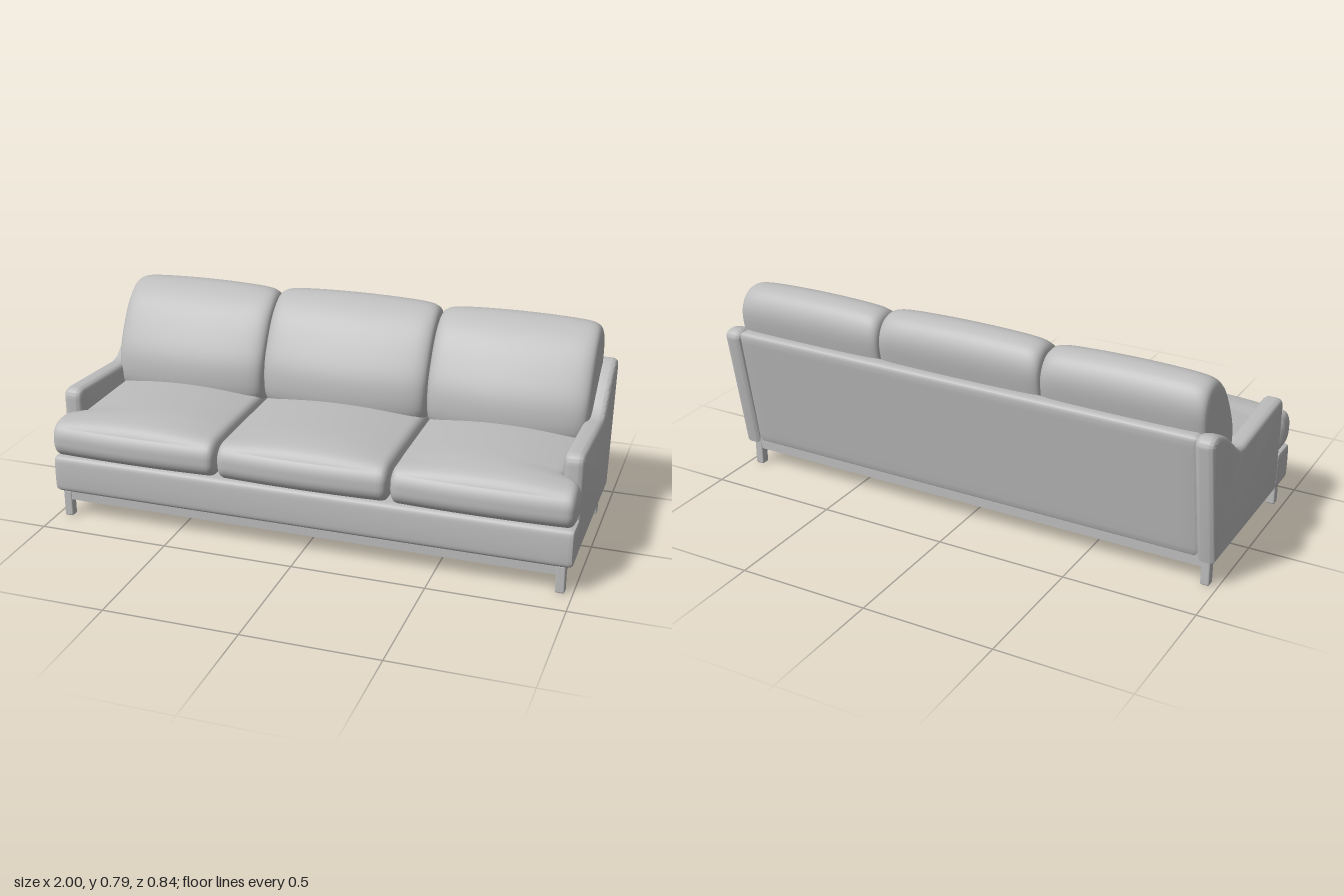
import * as THREE from 'three';
import { mergeVertices, toCreasedNormals } from 'three/addons/utils/BufferGeometryUtils.js';
import { RoundedBoxGeometry } from 'three/addons/geometries/RoundedBoxGeometry.js';

const grey = new THREE.MeshStandardMaterial({ color: 0xbcbcbc });
grey.name = 'soft grey';

function add(parent, name, geometry, x = 0, y = 0, z = 0) {
  const mesh = new THREE.Mesh(geometry, grey);
  mesh.name = name;
  mesh.position.set(x, y, z);
  parent.add(mesh);
  return mesh;
}

// Box with elliptical rounded edges, then reshaped by a rule.
// The rule gets the point and its position in the unit cube.
function softBox(size, radius, rule = () => {}, segments = 24) {
  const box = new THREE.BoxGeometry(2, 2, 2, segments, segments, segments);
  box.deleteAttribute('uv');
  box.deleteAttribute('normal');
  const g = mergeVertices(box, 1e-4);
  const pos = g.attributes.position;
  const unit = new THREE.Vector3(), p = new THREE.Vector3(), d = new THREE.Vector3();
  for (let i = 0; i < pos.count; i++) {
    unit.fromBufferAttribute(pos, i);
    ['x', 'y', 'z'].forEach((a, k) => {
      const half = size[k] / 2, inner = half - radius[k];
      unit[a] = Math.sin(unit[a] * Math.PI / 2);
      p[a] = THREE.MathUtils.clamp(unit[a] * half, -inner, inner);
      d[a] = (unit[a] * half - p[a]) / radius[k];
    });
    d.normalize();
    p.set(p.x + d.x * radius[0], p.y + d.y * radius[1], p.z + d.z * radius[2]);
    rule(p, unit);
    pos.setXYZ(i, p.x, p.y, p.z);
  }
  g.computeVertexNormals();
  return g;
}

// Back cushion: side profile lofted across the width, plumper in the middle.
function backCushionGeometry(width) {
  const outline = [[-0.06, 0.37], [-0.045, 0.5], [-0.1, 0.625], [-0.185, 0.735], [-0.28, 0.788],
    [-0.35, 0.772], [-0.385, 0.71], [-0.37, 0.58], [-0.34, 0.42], [-0.31, 0.36], [-0.18, 0.34]];
  const curve = new THREE.CatmullRomCurve3(outline.map(([z, y]) => new THREE.Vector3(0, y, z)), true);
  const n = 56, rings = 40, points = curve.getPoints(n).slice(0, n);
  const vertices = [], index = [];
  for (let i = 0; i <= rings; i++) {
    const t = Math.sin(Math.PI * (i / rings - 0.5));
    const round = Math.pow(Math.max(0, 1 - Math.pow(Math.abs(t), 12)), 1 / 12);
    const ky = round * (1 - 0.05 * t * t), kz = round * (1 - 0.13 * t * t);
    for (const p of points) {
      const z = -0.26 + (p.z + 0.26) * (p.z > -0.26 ? kz : ky);
      vertices.push(t * width / 2, 0.57 + (p.y - 0.57) * ky, z);
    }
    if (i === rings) break;
    for (let j = 0; j < n; j++) {
      const a = i * n + j, b = i * n + (j + 1) % n;
      index.push(a, a + n, b, b, a + n, b + n);
    }
  }
  const g = new THREE.BufferGeometry();
  g.setAttribute('position', new THREE.Float32BufferAttribute(vertices, 3));
  g.setIndex(index);
  g.computeVertexNormals();
  return g;
}

// Sloping arm: side outline extruded across its thickness with soft edges.
function armGeometry() {
  const s = new THREE.Shape();
  s.moveTo(-0.335, 0.105);
  s.lineTo(0.285, 0.105);
  s.lineTo(0.291, 0.445);
  s.quadraticCurveTo(0.291, 0.486, 0.25, 0.485);
  s.lineTo(-0.08, 0.463);
  s.bezierCurveTo(-0.15, 0.455, -0.165, 0.475, -0.2, 0.505);
  s.bezierCurveTo(-0.25, 0.545, -0.28, 0.575, -0.345, 0.6);
  s.bezierCurveTo(-0.385, 0.617, -0.422, 0.605, -0.417, 0.57);
  s.closePath();
  const bevel = 0.022, thick = 0.072;
  const g = new THREE.ExtrudeGeometry(s, {
    depth: thick - 2 * bevel, bevelThickness: bevel, bevelSize: bevel, bevelOffset: -bevel,
    bevelSegments: 5, curveSegments: 14,
  });
  g.translate(0, 0, bevel - thick / 2);
  g.rotateY(-Math.PI / 2);
  return toCreasedNormals(g, 0.7);
}

export function createModel() {
  const sofa = new THREE.Group();
  sofa.name = 'sofa';

  // Upholstered base, front border and leaning back
  add(sofa, 'base', new THREE.BoxGeometry(1.88, 0.145, 0.64), 0, 0.178, -0.01);
  add(sofa, 'frontBorder', softBox([1.992, 0.146, 0.12], [0.014, 0.02, 0.018], (p, u) => {
    p.z += 0.004 * (1 - u.y * u.y) * Math.sign(u.z);
  }, 16), 0, 0.178, 0.339);
  add(sofa, 'backrest', softBox([1.87, 0.5, 0.07], [0.01, 0.025, 0.025], (p) => {
    p.z -= (p.y + 0.25) * 0.165;
  }, 16), 0, 0.355, -0.296);

  // Arms
  const arm = armGeometry();
  for (const [side, name] of [[1, 'leftArm'], [-1, 'rightArm']]) {
    add(sofa, name, arm, side * 0.96, 0, 0);
  }

  // Seat and back cushions; outer seats wrap round the front of the arms
  const names = ['right', 'middle', 'left'];
  for (const side of [-1, 0, 1]) {
    const outer = side !== 0, width = outer ? 0.668 : 0.66;
    const x = side * 0.664;
    const seat = softBox([width, 0.142, 0.63], [0.028, 0.062, 0.06], (p, u) => {
      if (u.y > -0.9) p.y += 0.038 * (1 - u.x * u.x) * (1 - u.z ** 4) * (u.y + 1) / 2;
      p.z += 0.012 * (1 - u.x * u.x) * Math.max(0, u.z);
      const notch = 1 - THREE.MathUtils.smoothstep(p.z, 0.17, 0.195);
      if (outer) p.x -= side * notch * 0.06 * (u.x * side + 1) / 2;
    }, 30);
    add(sofa, names[side + 1] + 'SeatCushion', seat, x, 0.319, 0.096);
    add(sofa, names[side + 1] + 'BackCushion', backCushionGeometry(outer ? 0.618 : 0.66),
      side * 0.637, outer ? -0.007 : 0, 0);
  }

  // Under-frame rails
  const frame = new THREE.Group();
  frame.name = 'underFrame';
  sofa.add(frame);
  const longRail = new THREE.BoxGeometry(1.9, 0.037, 0.03);
  const crossRail = new THREE.BoxGeometry(0.03, 0.037, 0.65);
  for (const z of [0.367, -0.297]) add(frame, 'longRail', longRail, 0, 0.0885, z);
  for (const x of [-0.953, -0.325, 0.325, 0.953]) add(frame, 'crossRail', crossRail, x, 0.0885, 0.035);

  // Corner legs and two middle legs
  const cornerLeg = new RoundedBoxGeometry(0.034, 0.107, 0.035, 3, 0.006);
  const middleLeg = new RoundedBoxGeometry(0.034, 0.08, 0.035, 3, 0.006);
  for (const side of [-1, 1]) {
    for (const z of [0.367, -0.297]) add(sofa, 'cornerLeg', cornerLeg, side * 0.954, 0.0535, z);
    add(sofa, 'middleLeg', middleLeg, side * 0.325, 0.04, 0.007);
  }
  return sofa;
}
